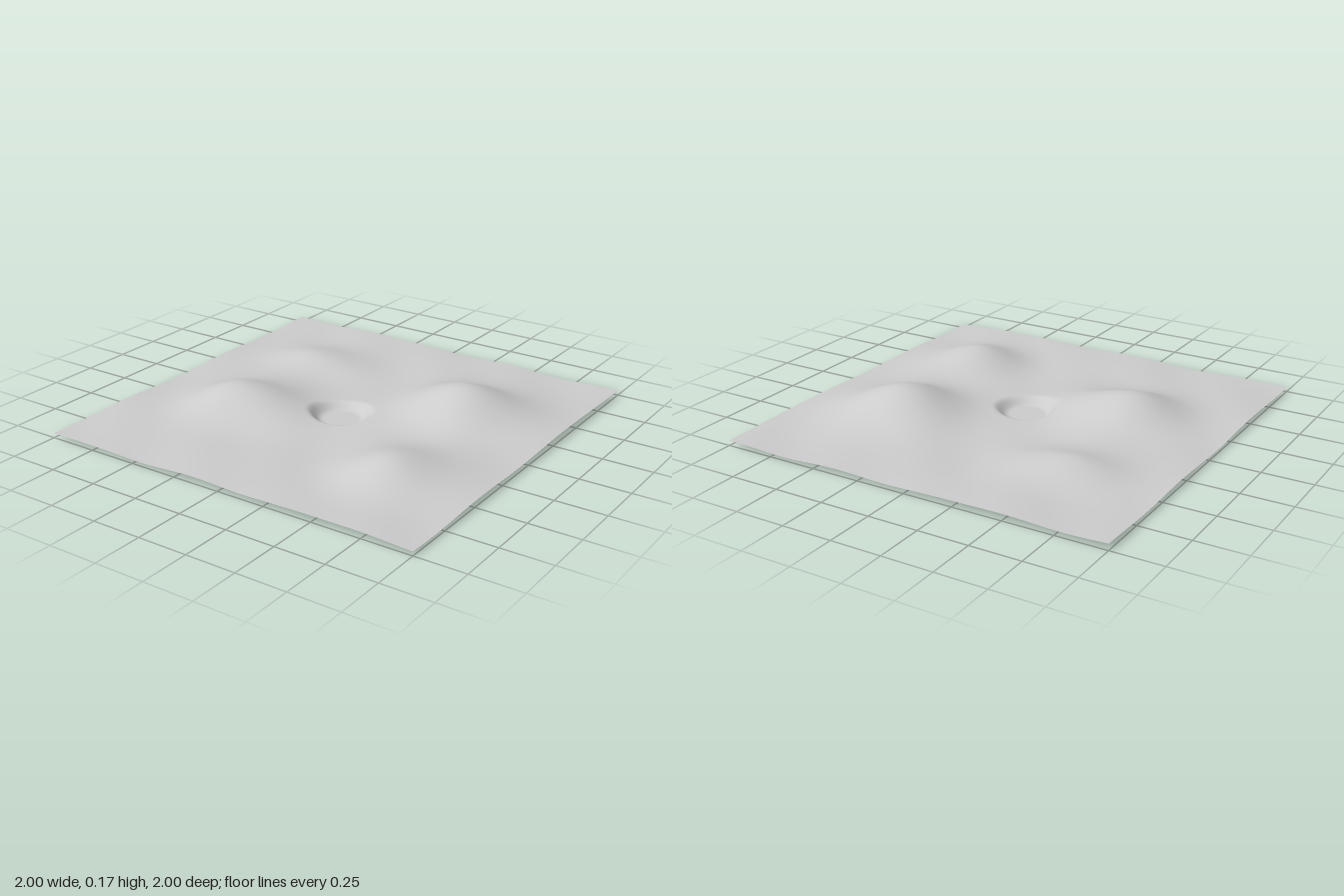
import * as THREE from 'three';

// Hills: centre x, z, height, then spread towards -x, +x, -z, +z
const HILLS = [
  [0.5, -0.3, 0.148, 0.2, 0.19, 0.18, 0.19],
  [0.56, 0.48, 0.092, 0.15, 0.155, 0.18, 0.145],
  [-0.47, 0.24, 0.122, 0.16, 0.22, 0.17, 0.16],
  [-0.5, -0.46, 0.055, 0.16, 0.18, 0.14, 0.11],
];
const CRATER = { x: 0, z: 0.05, floor: 0.095, rim: 0.165 };

function heightAt(x, z) {
  // gentle ripples of the open ground
  let y = 0.026
    + 0.004 * Math.sin(8.5 * x + 2.1 * z + 0.6)
    + 0.004 * Math.sin(7.5 * z - 2.6 * x + 1.4)
    + 0.002 * Math.sin(13 * x - 9 * z);
  for (const [cx, cz, h, left, right, back, front] of HILLS) {
    const dx = (x - cx) / (x < cx ? left : right);
    const dz = (z - cz) / (z < cz ? back : front);
    y += h * Math.exp(-(dx * dx + dz * dz) / 2);
  }
  // flat-floored crater sunk into the ground
  const r = Math.hypot(x - CRATER.x, z - CRATER.z);
  return y * THREE.MathUtils.smoothstep(r, CRATER.floor, CRATER.rim);
}

export function createModel() {
  const ground = new THREE.MeshStandardMaterial({ color: 0xcccccc, side: THREE.DoubleSide });
  ground.name = 'ground grey';

  const geometry = new THREE.PlaneGeometry(2, 2, 160, 160);
  geometry.rotateX(-Math.PI / 2);
  const pos = geometry.attributes.position;
  for (let i = 0; i < pos.count; i++) {
    pos.setY(i, heightAt(pos.getX(i), pos.getZ(i)));
  }
  geometry.computeVertexNormals();

  const terrain = new THREE.Mesh(geometry, ground);
  terrain.name = 'terrain';
  const model = new THREE.Group();
  model.name = 'hillyGround';
  model.add(terrain);
  return model;
}
